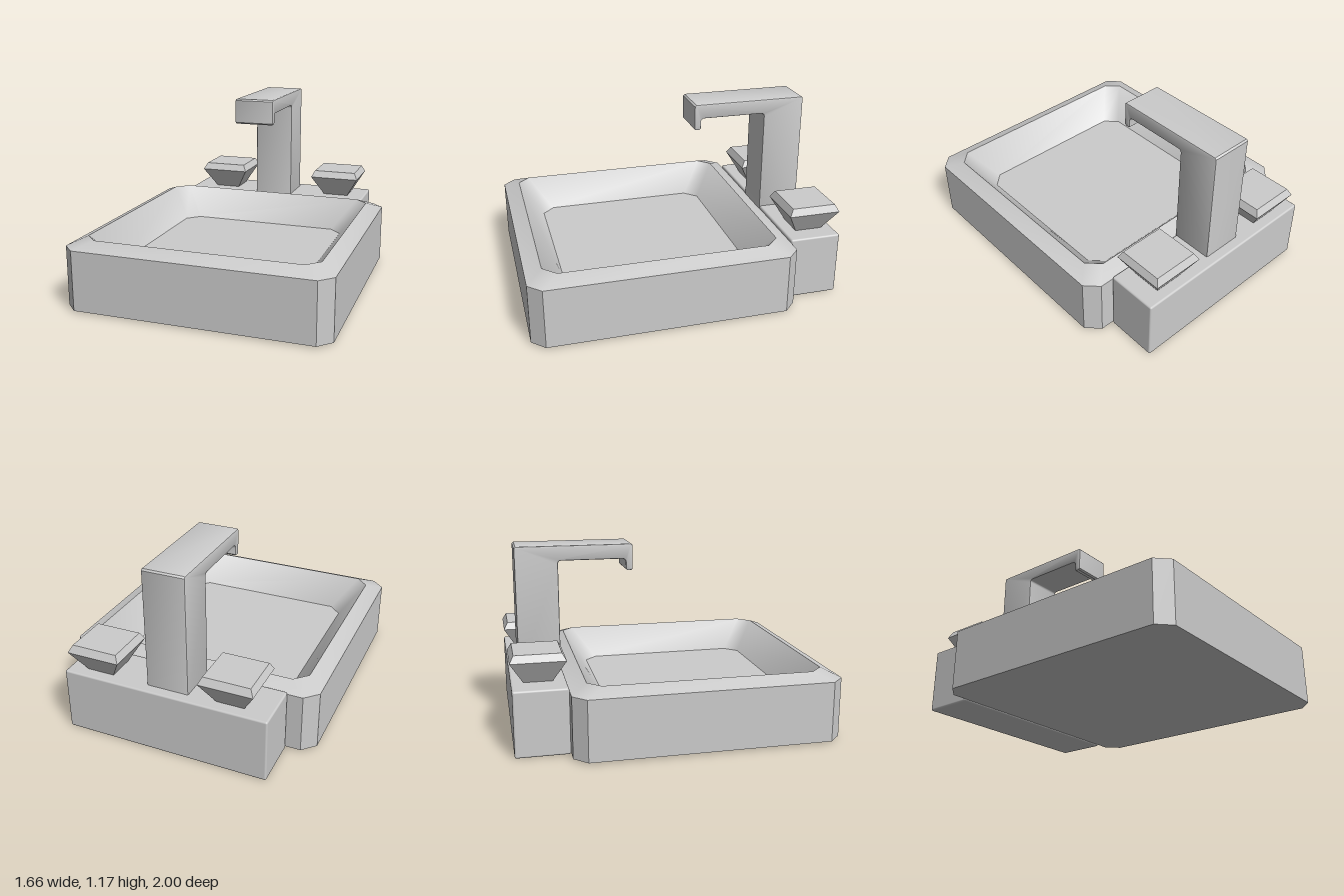
import * as THREE from 'three';
import { toCreasedNormals } from 'three/addons/utils/BufferGeometryUtils.js';
import { RoundedBoxGeometry } from 'three/addons/geometries/RoundedBoxGeometry.js';

const material = new THREE.MeshStandardMaterial({ color: 0xcccccc });

function addMesh(parent, name, geometry) {
  const mesh = new THREE.Mesh(geometry, material);
  mesh.name = name;
  parent.add(mesh);
  return mesh;
}

// Rectangle outline with cut corners, running from +z towards +x
function ring(y, hx, hz, cut) {
  const points = [];
  for (const [sx, sz] of [[1, 1], [1, -1], [-1, -1], [-1, 1]]) {
    const a = [sx * (hx - cut), y, sz * hz];
    const b = [sx * hx, y, sz * (hz - cut)];
    if (cut === 0) points.push(a);
    else points.push(...(sx * sz > 0 ? [a, b] : [b, a]));
  }
  return points;
}

// Skin a stack of rings and close both ends
function loft(rings, crease) {
  const n = rings[0].length, index = [];
  for (let r = 0; r < rings.length - 1; r++) {
    for (let i = 0; i < n; i++) {
      const j = (i + 1) % n, a = r * n + i, b = r * n + j;
      index.push(a, b, b + n, a, b + n, a + n);
    }
  }
  const last = (rings.length - 1) * n;
  for (let i = 1; i < n - 1; i++) {
    index.push(0, i + 1, i);
    index.push(last, last + i, last + i + 1);
  }
  const geometry = new THREE.BufferGeometry();
  geometry.setAttribute('position', new THREE.Float32BufferAttribute(rings.flat(2), 3));
  geometry.setIndex(index);
  return toCreasedNormals(geometry, crease);
}

// Side outline of the tap: column, arm and downturned lip, as (z, y)
function tapShape() {
  const s = new THREE.Shape();
  s.moveTo(-0.925, 0.36);
  s.lineTo(-0.655, 0.36);
  s.lineTo(-0.655, 1.055);
  s.quadraticCurveTo(-0.655, 1.075, -0.635, 1.075);
  s.lineTo(-0.25, 1.075);
  s.quadraticCurveTo(-0.225, 1.075, -0.225, 1.05);
  s.lineTo(-0.225, 1.01);
  s.lineTo(-0.215, 1.0);
  s.lineTo(-0.19, 1.0);
  s.lineTo(-0.18, 1.01);
  s.lineTo(-0.18, 1.16);
  s.lineTo(-0.19, 1.17);
  s.lineTo(-0.915, 1.17);
  s.lineTo(-0.925, 1.16);
  return s;
}

export function createModel() {
  const model = new THREE.Group();
  model.name = 'sink';

  // Basin: outer wall, sloping rim, sloping inner wall, floor
  const basin = addMesh(model, 'basin', loft([
    ring(0.01, 0.83, 0.83, 0.08),
    ring(0.39, 0.83, 0.83, 0.08),
    ring(0.435, 0.73, 0.73, 0.08),
    ring(0.24, 0.58, 0.58, 0.08),
  ], 0.7));
  basin.position.z = 0.17;

  // Block behind the basin that carries the tap
  const block = addMesh(model, 'tapBlock', new RoundedBoxGeometry(1.32, 0.41, 0.33, 2, 0.012));
  block.position.set(0.005, 0.205, -0.825);

  // Tap
  const bevel = 0.01, width = 0.27;
  const tapGeometry = new THREE.ExtrudeGeometry(tapShape(), {
    depth: width - 2 * bevel, curveSegments: 4,
    bevelThickness: bevel, bevelSize: bevel, bevelOffset: -bevel, bevelSegments: 2,
  });
  tapGeometry.translate(0, 0, bevel - width / 2);
  tapGeometry.rotateY(-Math.PI / 2);
  const tap = addMesh(model, 'tap', toCreasedNormals(tapGeometry, 0.6));
  tap.position.x = -0.003;

  // Tapered square knobs
  const knobGeometry = loft([
    ring(0.405, 0.085, 0.085, 0),
    ring(0.55, 0.17, 0.167, 0),
    ring(0.595, 0.147, 0.142, 0),
  ], 0.2);
  for (const [name, x] of [['rightKnob', -0.4], ['leftKnob', 0.455]]) {
    addMesh(model, name, knobGeometry).position.set(x, 0, -0.828);
  }

  return model;
}
